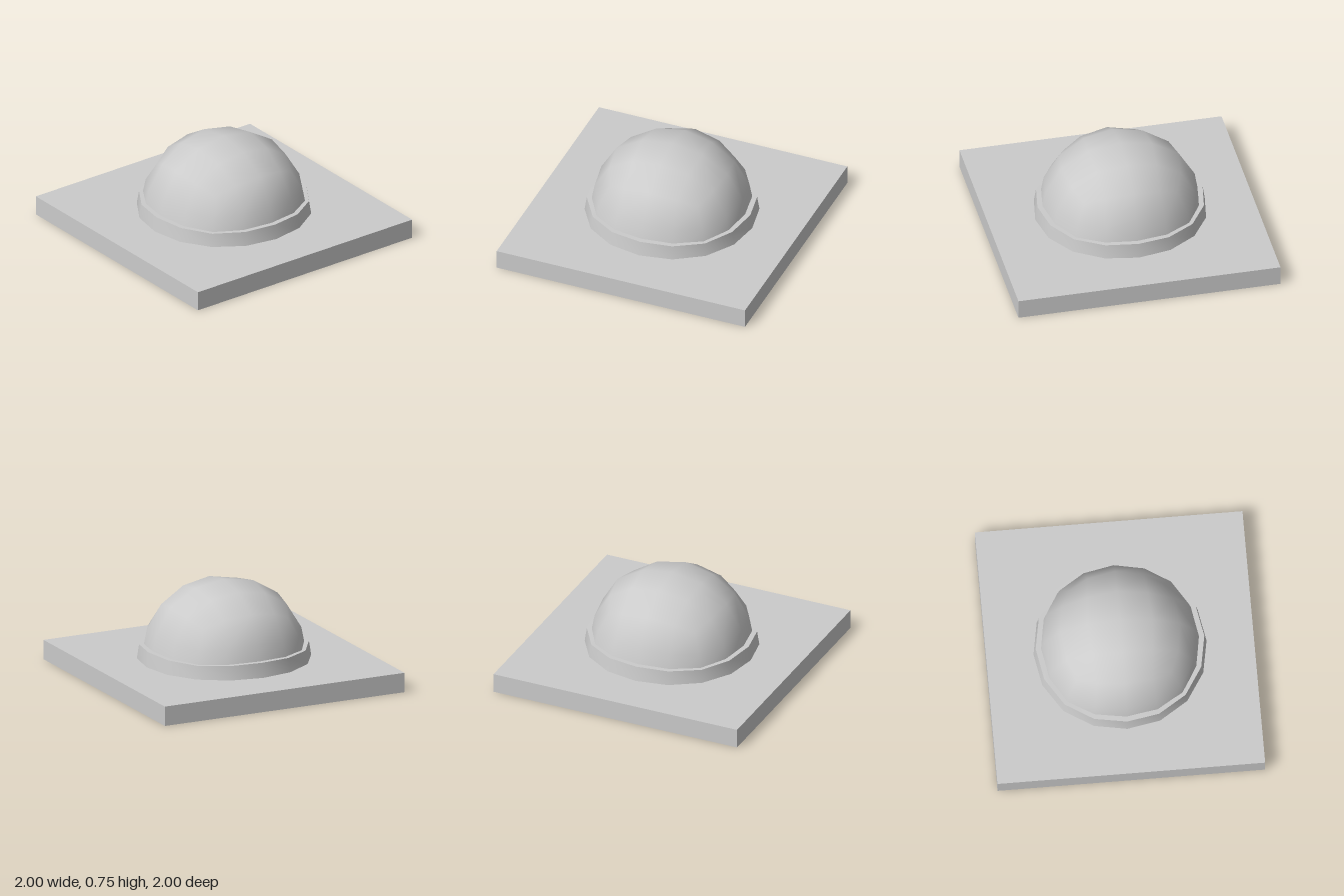
import * as THREE from 'three';
import { mergeVertices } from 'three/addons/utils/BufferGeometryUtils.js';

const material = new THREE.MeshStandardMaterial({ color: 0xcccccc });

function addPart(parent, name, geometry) {
  const mesh = new THREE.Mesh(geometry, material);
  mesh.name = name;
  parent.add(mesh);
}

// Weld the vertices and shade the surface smoothly
function smooth(geometry) {
  geometry.deleteAttribute('uv');
  geometry.deleteAttribute('normal');
  const welded = mergeVertices(geometry, 1e-4);
  welded.computeVertexNormals();
  return welded;
}

// Half of a box rounded by two rounds of subdivision.
// Factors [full, half] per coordinate, keyed by squared distance on the box.
function domeGeometry(size) {
  const factors = {
    1: [0.8785, 0], 1.25: [0.8195, 0.701], 1.5: [0.764, 0.652],
    2: [0.643, 0], 2.25: [0.599, 0.604], 3: [0.509, 0],
  };
  const box = new THREE.BoxGeometry(2, 1, 2, 4, 2, 4).translate(0, 0.5, 0);
  const under = box.groups[3]; // leave the bottom open
  const index = Array.from(box.index.array);
  index.splice(under.start, under.count);
  box.setIndex(index);
  box.clearGroups();
  const g = box.toNonIndexed(); // drops the unused bottom vertices
  const p = g.attributes.position;
  for (let i = 0; i < p.count; i++) {
    const c = [p.getX(i), p.getY(i), p.getZ(i)];
    const f = factors[c[0] ** 2 + c[1] ** 2 + c[2] ** 2];
    const [x, y, z] = c.map((a) => size * a * (Math.abs(a) === 1 ? f[0] : f[1]));
    p.setXYZ(i, x, y, z);
  }
  return smooth(g);
}

// 16-sided band that swells and dips slightly towards the diagonals
function bandGeometry(profile, dip) {
  const g = new THREE.LatheGeometry(profile.map(([r, y]) => new THREE.Vector2(r, y)), 16);
  const p = g.attributes.position;
  for (let i = 0; i < p.count; i++) {
    const x = p.getX(i), y = p.getY(i), z = p.getZ(i);
    const diagonal = Math.sin(2 * Math.atan2(z, x)) ** 2;
    const swell = 1 + 0.014 * diagonal;
    p.setXYZ(i, x * swell, y > 0.2 ? y - dip * diagonal : y, z * swell);
  }
  return smooth(g);
}

export function createModel() {
  const model = new THREE.Group();
  model.name = 'domeOnPlate';

  // Square plate
  addPart(model, 'basePlate', new THREE.BoxGeometry(2, 0.15, 2).translate(0, 0.075, 0));

  // Collar: sloped wall and flat rim running in to the dome
  const collar = new THREE.Group();
  collar.name = 'collar';
  addPart(collar, 'collarWall', bandGeometry([[0.648, 0.14], [0.63, 0.263]], 0.011));
  addPart(collar, 'collarRim', bandGeometry([[0.63, 0.263], [0.57, 0.263]], 0.011));
  model.add(collar);

  // Smooth dome
  addPart(model, 'dome', domeGeometry(0.695).translate(0, 0.14, 0));

  return model;
}
